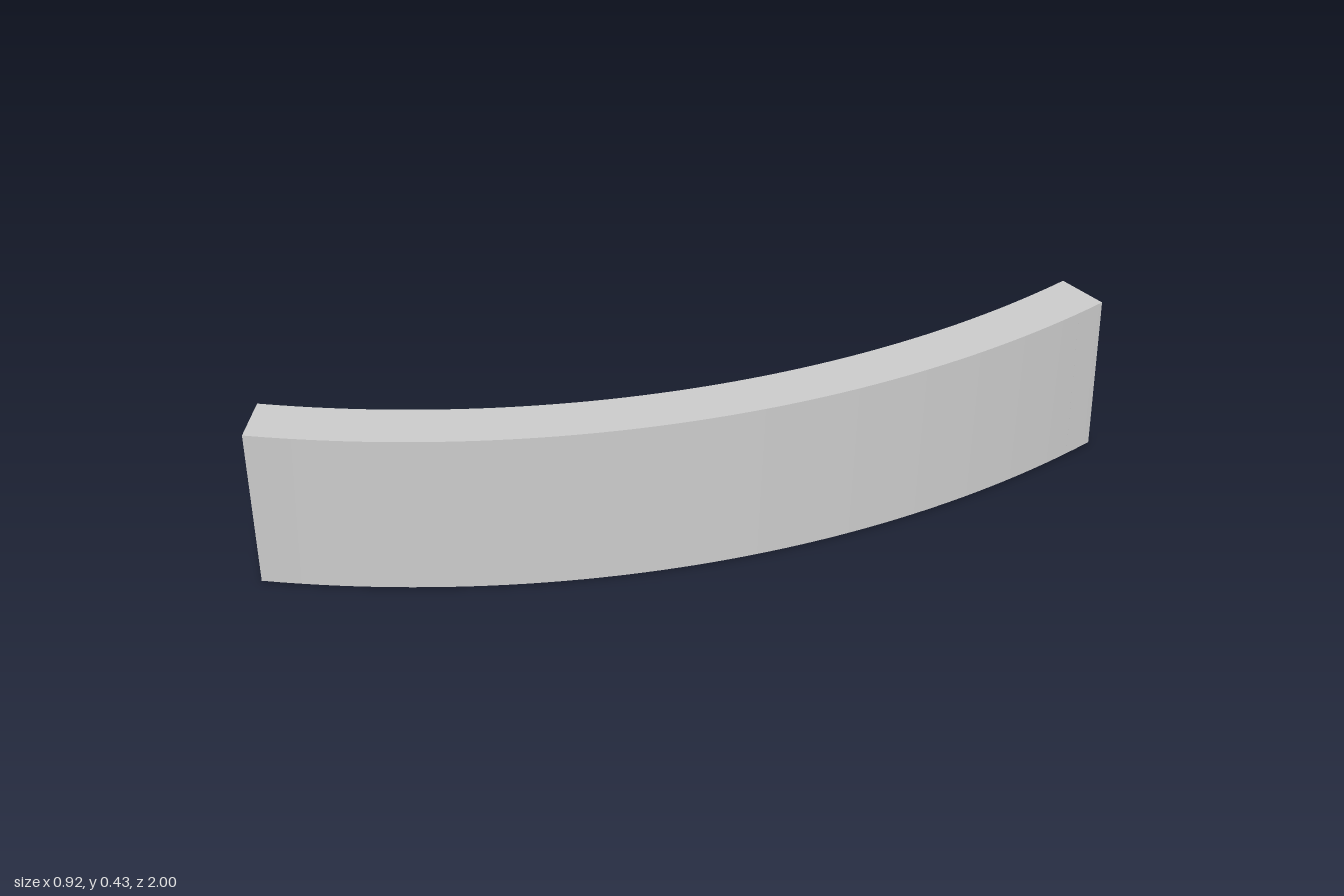
import * as THREE from 'three';

// Arc layout: centre, radii, heights and angles (degrees)
const CX = -2.2, CZ = -0.93;
const R_IN = 2.525, R_OUT = 2.66, BOTTOM = 0.004, TOP = 0.43;
const A_BACK = -1.5, A_FRONT = 46.5;
const G_IN = 2.55, G_OUT = 2.632, G_BACK = 0.25, G_FRONT = 44.75;
const LIP = 0.008;

const material = new THREE.MeshStandardMaterial({ color: 0xcccccc, side: THREE.DoubleSide });

// Point on the arc; the front end leans out slightly towards the top
function at(r, y, deg) {
  const lean = 1 - 0.0055 * (1 - y / TOP) * Math.max(0, deg / A_FRONT);
  const a = THREE.MathUtils.degToRad(deg * lean);
  return [CX + r * Math.cos(a), y, CZ + r * Math.sin(a)];
}

// Sweeps a polyline of [radius, height] points along the arc
function sweep(name, line, a0, a1, steps = 48) {
  const pos = [], index = [], n = line.length;
  for (let i = 0; i <= steps; i++) {
    const a = a0 + ((a1 - a0) * i) / steps;
    for (const [r, y] of line) pos.push(...at(r, y, a));
  }
  for (let i = 0; i < steps; i++) {
    for (let j = 0; j < n - 1; j++) {
      const p = i * n + j, q = p + n;
      index.push(p, p + 1, q, p + 1, q + 1, q);
    }
  }
  return build(name, pos, index);
}

// Flat wall across the arc at one angle, filling a convex outline
function wall(name, outline, deg, facing) {
  const pos = outline.flatMap(([r, y]) => at(r, y, deg));
  const index = [];
  for (let i = 1; i < outline.length - 1; i++) {
    index.push(0, ...(facing > 0 ? [i + 1, i] : [i, i + 1]));
  }
  return build(name, pos, index);
}

function build(name, pos, index) {
  const g = new THREE.BufferGeometry();
  g.setAttribute('position', new THREE.Float32BufferAttribute(pos, 3));
  g.setIndex(index);
  g.computeVertexNormals();
  const mesh = new THREE.Mesh(g, material);
  mesh.name = name;
  return mesh;
}

export function createModel() {
  const model = new THREE.Group();
  model.name = 'curvedBeam';

  // Outer casing, open at the back end
  const casing = new THREE.Group();
  casing.name = 'casing';
  casing.add(
    sweep('outerSide', [[R_OUT, BOTTOM], [R_OUT, TOP]], A_BACK, A_FRONT),
    sweep('top', [[R_OUT, TOP], [R_IN, TOP]], A_BACK, A_FRONT),
    sweep('innerSide', [[R_IN, TOP], [R_IN, BOTTOM]], A_BACK, A_FRONT),
    sweep('undersideInner', [[R_IN, BOTTOM], [G_IN, BOTTOM]], A_BACK, A_FRONT),
    sweep('undersideOuter', [[G_OUT, BOTTOM], [R_OUT, BOTTOM]], A_BACK, A_FRONT),
    sweep('undersideBack', [[G_IN, BOTTOM], [G_OUT, BOTTOM]], A_BACK, G_BACK, 3),
    sweep('undersideFront', [[G_IN, BOTTOM], [G_OUT, BOTTOM]], G_FRONT, A_FRONT, 3)
  );
  const section = [[R_IN, BOTTOM], [R_OUT, BOTTOM], [R_OUT, TOP], [R_IN, TOP]];
  casing.add(wall('frontCap', section, A_FRONT, 1));
  casing.add(wall('recessedBackWall', section, G_BACK, -1));
  model.add(casing);

  // Arched groove in the underside, closed at both ends
  const groove = new THREE.Group();
  groove.name = 'groove';
  const g0 = G_IN + LIP, g1 = G_OUT - LIP;
  const mid = (g0 + g1) / 2, rad = (g1 - g0) / 2;
  const arch = [[g0, 0]];
  for (let i = 0; i <= 12; i++) {
    const t = Math.PI * (1 - i / 12);
    arch.push([mid + rad * Math.cos(t), 0.025 + rad * Math.sin(t)]);
  }
  arch.push([g1, 0]);
  const e = 0.18;
  groove.add(
    sweep('grooveSurface', arch, G_BACK + e, G_FRONT - e),
    wall('grooveBackEnd', arch, G_BACK + e, 1),
    wall('grooveFrontEnd', arch, G_FRONT - e, -1)
  );

  // Thin lip standing proud around the groove
  groove.add(
    sweep('lipInner', [[G_IN, BOTTOM], [G_IN, 0], [g0, 0]], G_BACK, G_FRONT),
    sweep('lipOuter', [[g1, 0], [G_OUT, 0], [G_OUT, BOTTOM]], G_BACK, G_FRONT),
    sweep('lipBack', [[g0, 0], [g1, 0]], G_BACK, G_BACK + e, 1),
    sweep('lipFront', [[g0, 0], [g1, 0]], G_FRONT - e, G_FRONT, 1)
  );
  const lipEnd = [[G_IN, 0], [G_OUT, 0], [G_OUT, BOTTOM], [G_IN, BOTTOM]];
  groove.add(wall('lipBackEdge', lipEnd, G_BACK, -1), wall('lipFrontEdge', lipEnd, G_FRONT, 1));
  model.add(groove);

  return model;
}
